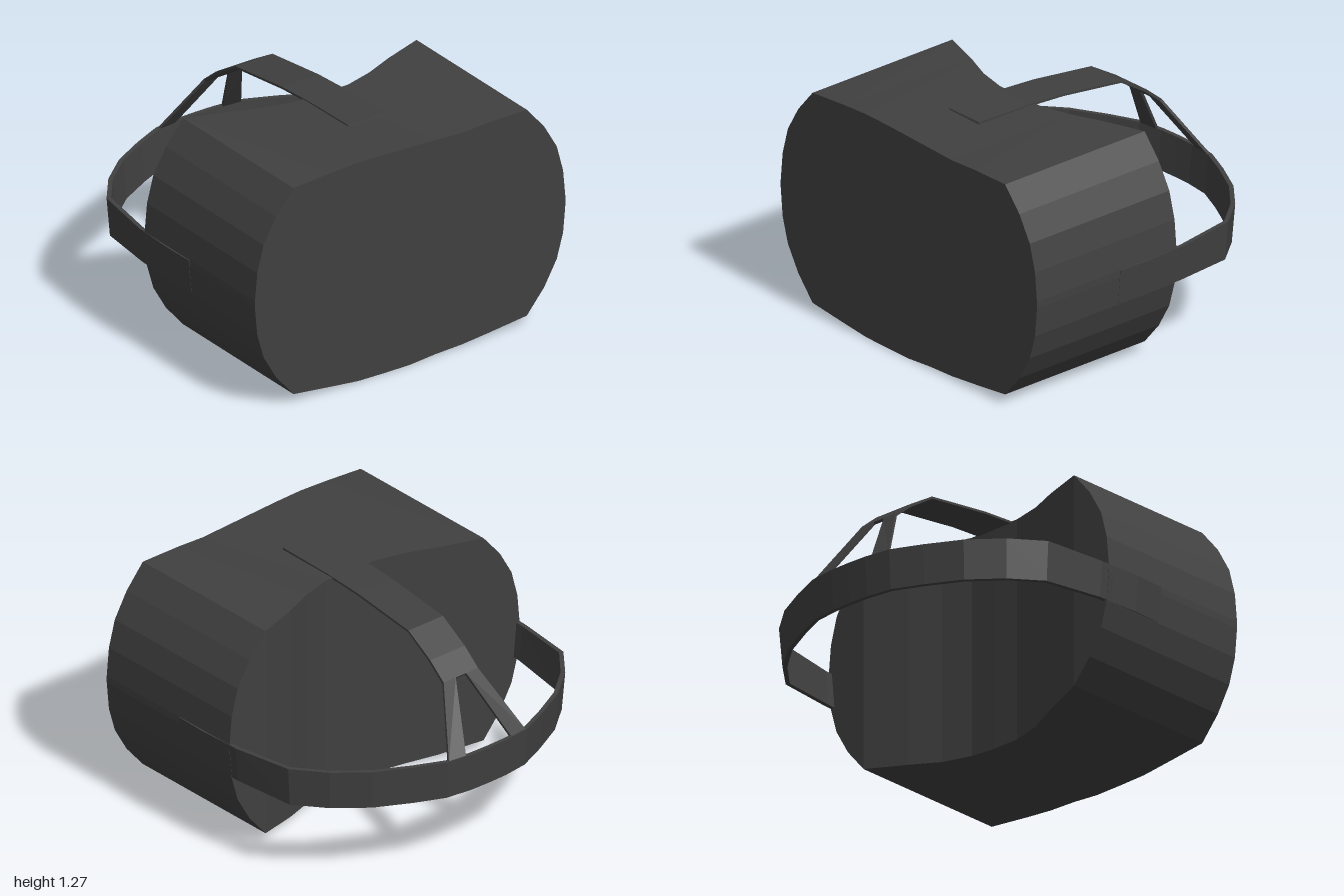
import * as THREE from 'three';

// Skin a run of four-cornered sections into a closed, faceted solid.
function loft(sections) {
  const pos = [];
  const quad = (a, b, c, d) => pos.push(...a, ...b, ...c, ...a, ...c, ...d);
  for (let i = 0; i < sections.length - 1; i++) {
    for (let j = 0; j < 4; j++) {
      const k = (j + 1) % 4;
      quad(sections[i][j], sections[i + 1][j], sections[i + 1][k], sections[i][k]);
    }
  }
  quad(...sections[0]);
  quad(...[...sections[sections.length - 1]].reverse());
  // Turn the faces outward if the enclosed volume comes out negative.
  const v = (i) => new THREE.Vector3().fromArray(pos, i);
  let volume = 0;
  for (let i = 0; i < pos.length; i += 9) volume += v(i).dot(v(i + 3).cross(v(i + 6)));
  if (volume < 0) {
    for (let i = 0; i < pos.length; i += 9) {
      for (let n = 0; n < 3; n++) [pos[i + n], pos[i + 3 + n]] = [pos[i + 3 + n], pos[i + n]];
    }
  }
  const geometry = new THREE.BufferGeometry();
  geometry.setAttribute('position', new THREE.Float32BufferAttribute(pos, 3));
  geometry.computeVertexNormals();
  return geometry;
}

export function createModel() {
  const group = new THREE.Group();
  const charcoal = new THREE.MeshStandardMaterial({ color: 0x404040, flatShading: true });
  charcoal.name = 'charcoal';
  const add = (name, sections) => {
    const mesh = new THREE.Mesh(loft(sections), charcoal);
    mesh.name = name;
    group.add(mesh);
  };

  // Visor: slices along z as [z, bottom, top at back, top at front, back x].
  const side = [
    [0.985, 0.63, 0.67, 0.67, -0.03],
    [0.97, 0.47, 0.83, 0.83, -0.03],
    [0.93, 0.33, 0.98, 0.98, -0.03],
    [0.85, 0.19, 1.12, 1.12, -0.03],
    [0.74, 0.06, 1.25, 1.25, -0.03],
  ];
  const middle = [
    [-0.5, 0.035, 1.25, 1.25, 0.05],
    [-0.33, 0.02, 1.25, 1.243, 0.12],
    [-0.16, 0.015, 1.25, 1.252, 0.165],
    [0, 0.003, 1.25, 1.26, 0.16],
    [0.16, 0.005, 1.25, 1.268, 0.16],
    [0.33, 0.01, 1.25, 1.273, 0.12],
    [0.5, 0.03, 1.25, 1.266, 0.05],
  ];
  const slices = [
    ...side.map(([z, ...rest]) => [-z, ...rest]),
    ...middle,
    ...[...side].reverse(),
  ];
  add('visorBody', slices.map(([z, low, topBack, topFront, back]) => [
    [0.93, low, z], [0.93, topFront, z], [back, topBack, z], [back, low, z],
  ]));

  // Head band: a half loop, leaning slightly inward towards its lower edge.
  const half = [
    [0.36, 0.99], [0.18, 0.995], [-0.08, 0.985], [-0.43, 0.935], [-0.6, 0.8],
    [-0.74, 0.63], [-0.84, 0.44], [-0.915, 0.27], [-0.935, 0.12],
  ];
  const loop = [...half, [-0.938, 0], ...half.map(([x, z]) => [x, -z]).reverse()];
  add('headBand', loop.map(([x, z], i) => {
    const a = loop[Math.max(i - 1, 0)];
    const b = loop[Math.min(i + 1, loop.length - 1)];
    const out = new THREE.Vector2(b[1] - a[1], a[0] - b[0]).normalize().multiplyScalar(-1);
    if (out.x * x + out.y * z < 0) out.negate();
    const at = (y, inset) => [x - out.x * inset, y, z - out.y * inset];
    const top = x > -0.2 ? 0.67 : 0.68;
    const low = x > -0.2 ? 0.473 : 0.462;
    return [at(top, 0), at(top, 0.024), at(low, 0.042), at(low, 0.018)];
  }));

  // Top strap running back from the visor.
  const path = [[0.55, 1.264], [0.2, 1.257], [-0.03, 1.243], [-0.43, 1.193], [-0.6, 1.09], [-0.705, 1.003]];
  add('topStrap', path.map(([x, y], i) => {
    const dx = i > 3 ? 0.009 : 0.003;
    return [[x, y, 0.117], [x, y, -0.117], [x + dx, y - 0.012, -0.117], [x + dx, y - 0.012, 0.117]];
  }));

  // Two legs splaying from the strap down to the band.
  for (const s of [1, -1]) {
    const ends = [[-0.705, 1.003, 0.035, 0.117], [-0.925, 0.675, 0.155, 0.262]];
    add(s > 0 ? 'leftStrapLeg' : 'rightStrapLeg', ends.map(([x, y, inner, outer], i) => {
      const xOuter = x + i * 0.012;
      return [
        [x, y, s * inner], [xOuter, y, s * outer],
        [xOuter + 0.012, y - 0.009, s * outer], [x + 0.012, y - 0.009, s * inner],
      ];
    }));
  }
  return group;
}
